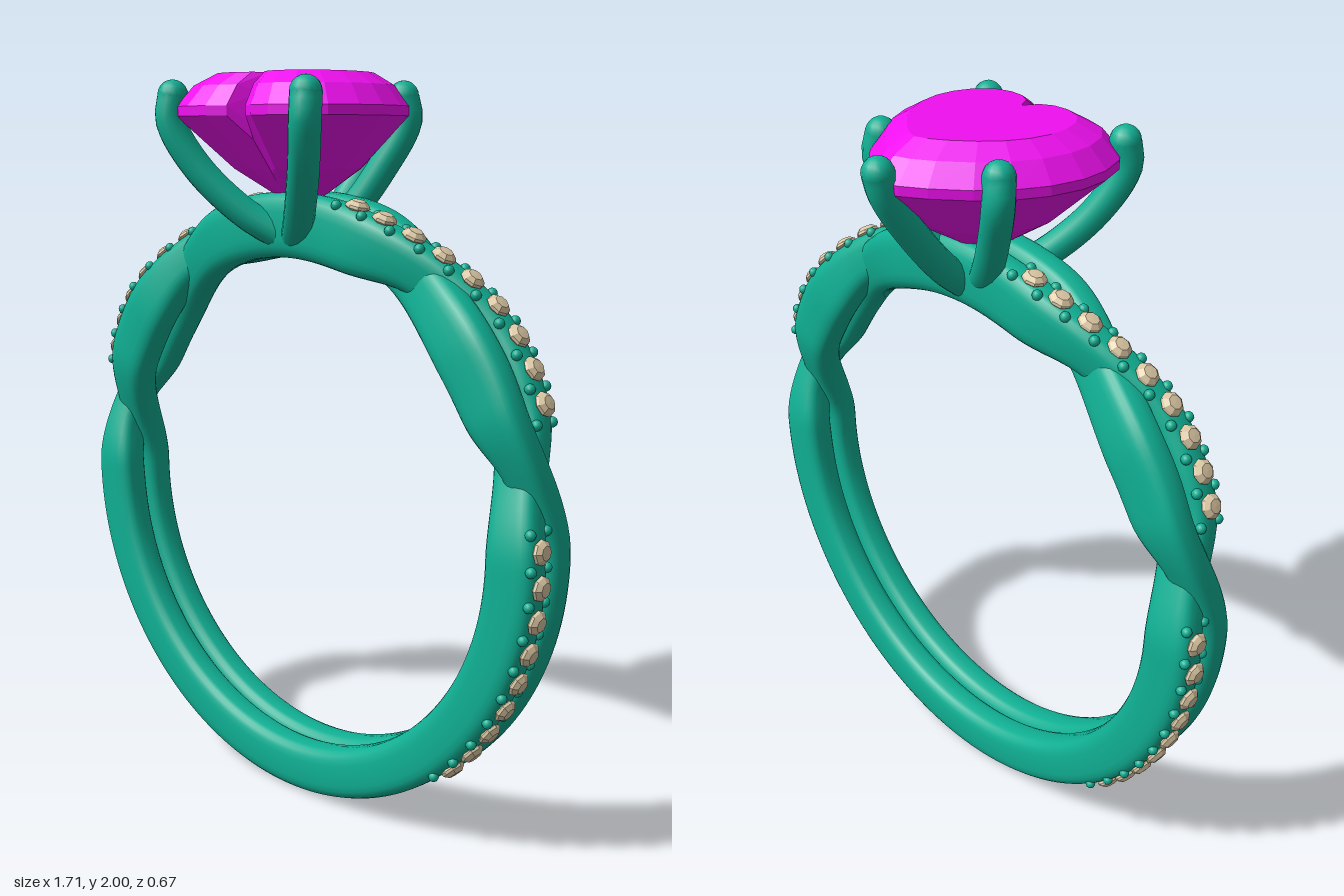
import * as THREE from 'three';

const CY = 0.83, CZ = 0.043;              // centre of the band
const DEG = Math.PI / 180;
const metal = new THREE.MeshStandardMaterial({ color: 0x10b094 });
const gemMat = new THREE.MeshStandardMaterial({ color: 0xf010f0, flatShading: true });
const stoneMat = new THREE.MeshStandardMaterial({ color: 0xdcc8a4, flatShading: true });

const step = (x, a, b) => THREE.MathUtils.smoothstep(x, a, b);
const bump = (x, c, w) => Math.exp(-(((x - c) / w) ** 2));

function add(parent, name, geometry, material) {
  const mesh = new THREE.Mesh(geometry, material);
  mesh.name = name;
  parent.add(mesh);
  return mesh;
}

// Skin a list of closed rings; optionally join the last ring to the first
function loft(rings, joined) {
  const n = rings[0].length, m = rings.length, index = [];
  for (let j = 0; j < (joined ? m : m - 1); j++) {
    for (let i = 0; i < n; i++) {
      const k = (i + 1) % n, a = j * n, b = ((j + 1) % m) * n;
      index.push(a + i, a + k, b + k, a + i, b + k, b + i);
    }
  }
  const g = new THREE.BufferGeometry();
  g.setAttribute('position', new THREE.Float32BufferAttribute(rings.flat(2), 3));
  g.setIndex(index);
  g.computeVertexNormals();
  return g;
}

// Course of one strand at an angle (degrees) from the top of the ring
function strandAt(deg) {
  const p = Math.abs(deg), side = Math.sign(deg);
  const z = 0.05 * (1 - 2 * step(p, 16, 52) + 2 * step(p, 62, 90));
  const over = side * (bump(p, 34, 11) - bump(p, 76, 9));
  const outer = 0.832 + 0.033 * (1 - step(p, 45, 85)) + 0.008 * bump(p, 95, 35) + 0.022 * Math.min(over, 0);
  const inner = 0.69 + 0.045 * Math.max(over, 0);
  return { z, outer, inner };
}

const onRing = (deg, r, z) => [r * Math.sin(deg * DEG), r * Math.cos(deg * DEG), z];

function strandGeometry() {
  const rings = [], soft = v => Math.sign(v) * Math.abs(v) ** 0.65;
  for (let d = -180; d < 180; d += 2) {
    const { z, outer, inner } = strandAt(d), ring = [];
    for (let i = 0; i < 24; i++) {
      const t = (i / 24) * Math.PI * 2;
      const r = (outer + inner) / 2 + ((outer - inner) / 2) * soft(Math.cos(t));
      ring.push(onRing(d, r, z + 0.05 * soft(Math.sin(t))));
    }
    rings.push(ring);
  }
  return loft(rings, true);
}

// One strand with its two rows of set stones
function makeStrand() {
  const group = new THREE.Group();
  group.name = 'strand';
  add(group, 'strandBand', strandGeometry(), metal);
  const profile = [[0, -0.03], [0.033, 0], [0.031, 0.007], [0.019, 0.017], [0, 0.018]];
  const stone = new THREE.LatheGeometry(profile.map(p => new THREE.Vector2(...p)), 8);
  const bead = new THREE.SphereGeometry(0.014, 10, 8);
  for (const [start, gap] of [[16, 5.95], [87, 6.05]]) {
    for (let i = 0; i < 9; i++) {
      const d = start + i * gap, s = strandAt(d);
      const m = add(group, 'accentStone', stone, stoneMat);
      m.position.set(...onRing(d, s.outer + 0.001, s.z));
      m.rotation.z = -d * DEG;
    }
    for (let i = 0; i <= 9; i++) {
      const d = start + (i - 0.5) * gap, s = strandAt(d);
      for (const e of [-1, 1]) {
        add(group, 'beadProng', bead, metal).position.set(...onRing(d, s.outer - 0.006, s.z + e * 0.032));
      }
    }
  }
  return group;
}

// Heart-cut centre stone: half outline from the cleft to the point, mirrored
function gemGeometry() {
  const half = [[0, 0.23], [0.035, 0.29], [0.085, 0.318], [0.15, 0.322], [0.22, 0.3], [0.275, 0.24], [0.305, 0.16],
    [0.31, 0.08], [0.29, -0.01], [0.25, -0.09], [0.19, -0.165], [0.11, -0.235], [0.05, -0.275], [0, -0.293]];
  const outline = [...half, ...half.slice(1, -1).reverse().map(([x, z]) => [-x, z])];
  const c = 0.05;
  // scale, height, drop at the cleft
  const levels = [[0, 1.64, 0], [0.55, 1.755, 0.03], [1, 1.89, 0.06], [1, 1.915, 0.05],
    [0.86, 1.968, 0.02], [0.67, 2, 0], [0, 2, 0]];
  return loft(levels.map(([s, y, drop]) =>
    outline.map(([x, z], i) => [x * s, i === 0 ? y - drop : y, c + (z - c) * s])), false);
}

// Curved claw with rounded ends
function makeProng(name, points) {
  const group = new THREE.Group();
  group.name = name;
  const pts = points.map(p => new THREE.Vector3(...p));
  const r = 0.041;
  add(group, 'prongShaft', new THREE.TubeGeometry(new THREE.CatmullRomCurve3(pts), 24, r, 14), metal);
  for (const p of [pts[0], pts[pts.length - 1]]) {
    add(group, 'prongEnd', new THREE.SphereGeometry(r, 14, 10), metal).position.copy(p);
  }
  return group;
}

export function createModel() {
  const model = new THREE.Group();
  model.name = 'ring';

  // Two strands woven together, the second a half turn of the first
  for (const turn of [0, Math.PI]) {
    const strand = makeStrand();
    strand.position.set(0, CY, CZ);
    strand.rotation.y = turn;
    model.add(strand);
  }

  // Head: centre stone and five prongs
  const head = new THREE.Group();
  head.name = 'head';
  model.add(head);
  add(head, 'heartGem', gemGeometry(), gemMat);
  for (const s of [1, -1]) {
    head.add(makeProng('frontProng', [[0, 1.56, 0.08], [s * 0.1, 1.635, 0.165], [s * 0.2, 1.76, 0.25],
      [s * 0.25, 1.88, 0.295], [s * 0.247, 1.944, 0.288]]));
    head.add(makeProng('sideProng', [[0, 1.56, 0.03], [s * 0.09, 1.635, -0.03], [s * 0.17, 1.76, -0.08],
      [s * 0.222, 1.88, -0.115], [s * 0.215, 1.94, -0.108]]));
  }
  head.add(makeProng('backProng', [[0, 1.56, 0], [0, 1.63, -0.085], [0, 1.76, -0.195],
    [0, 1.88, -0.275], [0, 1.938, -0.293]]));
  const base = add(head, 'headBase', new THREE.SphereGeometry(0.06, 16, 12), metal);
  base.position.set(0, 1.59, 0.04);
  base.scale.set(1, 1, 1.3);
  return model;
}
